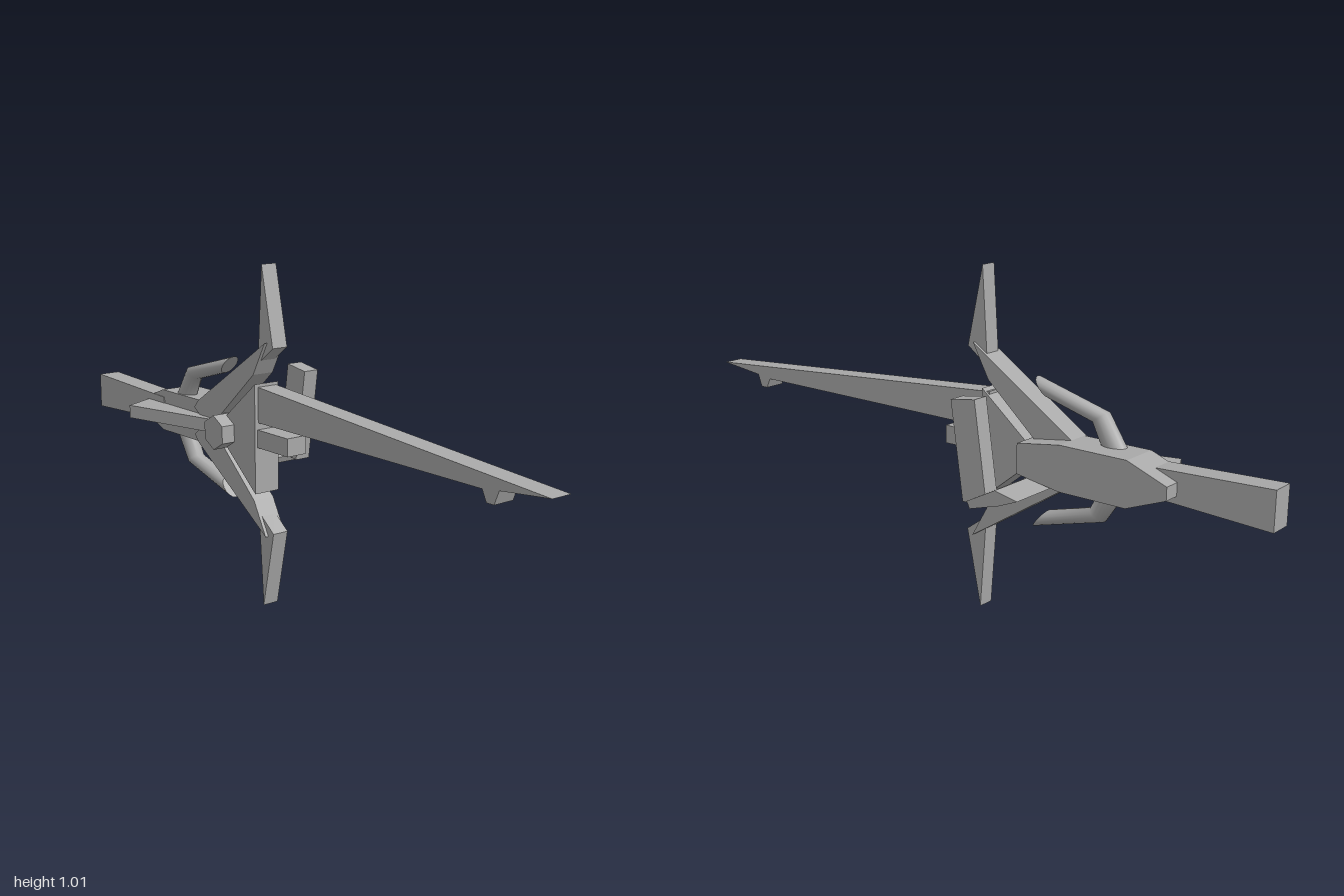
import * as THREE from 'three';

const MID = 0.508; // height of the mirror line between upper and lower parts

export function createModel() {
  const group = new THREE.Group();
  const metal = new THREE.MeshStandardMaterial({ color: 0xa8a8a8 });
  metal.name = 'grey metal';

  const add = (name, geo) => {
    const mesh = new THREE.Mesh(geo, metal);
    mesh.name = name;
    group.add(mesh);
    return mesh;
  };
  // Flat plate: outline in x/y, extruded between two depths
  const plate = (name, pts, z0, z1) => {
    const shape = new THREE.Shape(pts.map(p => new THREE.Vector2(p[0], p[1])));
    const geo = new THREE.ExtrudeGeometry(shape, { depth: z1 - z0, bevelEnabled: false });
    geo.translate(0, 0, z0);
    return add(name, geo);
  };
  const flip = pts => pts.map(([x, y]) => [x, 2 * MID - y]);

  // Blade with the small hook near its tip
  plate('blade', [[-0.12, 0.662], [1, 0.58], [0.84, 0.563], [0.825, 0.525], [0.80, 0.525],
    [0.785, 0.556], [-0.12, 0.556]], 0.015, 0.08);

  // Handle, widening toward its end
  plate('handle', [[-1, 0.455], [-0.6, 0.475], [-0.6, 0.55], [-1, 0.565]], 0.01, 0.08);

  // Central body with chamfered ends
  plate('body', [[-0.73, 0.49], [-0.61, 0.443], [-0.4, 0.443], [-0.26, 0.465],
    [-0.26, 0.552], [-0.4, 0.573], [-0.61, 0.573], [-0.73, 0.527]], -0.04, 0.078);

  // Triangular guard and the stub in front of it
  plate('guard', [[-0.1, 0.345], [-0.1, 0.67], [-0.3, MID]], 0.008, 0.092);
  plate('stub', [[-0.12, 0.483], [0.04, 0.483], [0.04, 0.536], [-0.12, 0.536]], 0.017, 0.083);

  // Raised wedge on the front of the body
  const wedge = new THREE.Shape([[-0.7, 0.05], [-0.25, 0.05], [-0.25, 0.08], [-0.64, 0.183], [-0.69, 0.08]]
    .map(([x, z]) => new THREE.Vector2(x, -z)));
  const wedgeGeo = new THREE.ExtrudeGeometry(wedge, { depth: 0.04, bevelEnabled: false });
  wedgeGeo.rotateX(-Math.PI / 2);
  wedgeGeo.translate(0, 0.491, 0);
  add('frontWedge', wedgeGeo);

  // Six-sided bolt
  const bolt = new THREE.CylinderGeometry(0.052, 0.052, 0.09, 6).toNonIndexed();
  bolt.computeVertexNormals();
  bolt.rotateX(Math.PI / 2);
  bolt.translate(-0.248, MID, 0.09);
  add('bolt', bolt);

  // Tilted bar at the back and the arm that carries it
  const bar = add('backBar', new THREE.BoxGeometry(0.082, 0.282, 0.05));
  bar.position.set(-0.195, 0.545, -0.142);
  bar.rotation.z = -0.15;
  plate('backArm', [[-0.37, 0.445], [-0.31, 0.42], [-0.21, 0.39], [-0.2, 0.41], [-0.295, 0.46]], -0.18, 0.02);

  // Swept arms and pointed tips, mirrored above and below
  const arm = [[-0.42, 0.55], [-0.4, 0.573], [-0.06, 0.793], [-0.115, 0.695], [-0.28, 0.55], [-0.36, MID]];
  const tip = [[-0.085, 1.012], [-0.035, 0.78], [-0.105, 0.728]];
  // Pipe rings given by an outer and an inner point
  const rings = [[-0.565, 0.555, -0.485, 0.555], [-0.495, 0.66, -0.45, 0.628], [-0.262, 0.724, -0.308, 0.668]];
  for (const [side, upper] of [['upper', true], ['lower', false]]) {
    plate(side + 'Arm', upper ? arm : flip(arm), 0.016, 0.086);
    plate(side + 'Tip', upper ? tip : flip(tip), 0.025, 0.076);
    add(side + 'Pipe', pipe(rings, upper));
  }
  return group;
}

// Smooth pipe with slanted ends, lofted through elliptical rings
function pipe(rings, upper) {
  const n = 16, pos = [], idx = [];
  const quad = (a, b, c, d) => upper ? idx.push(a, b, c, a, c, d) : idx.push(a, c, b, a, d, c);
  const put = (x, y, z) => pos.push(x, upper ? y : 2 * MID - y, z);
  const ring = ([ox, oy, ix, iy]) => {
    for (let j = 0; j < n; j++) {
      const a = j / n * Math.PI * 2, t = (1 + Math.cos(a)) / 2;
      put(ix + (ox - ix) * t, iy + (oy - iy) * t, 0.047 + 0.026 * Math.sin(a));
    }
  };
  rings.forEach(ring);
  for (let i = 0; i < rings.length - 1; i++) {
    for (let j = 0; j < n; j++) {
      const k = (j + 1) % n;
      quad(i * n + j, i * n + k, (i + 1) * n + k, (i + 1) * n + j);
    }
  }
  // End cap with its own corners
  const base = rings.length * n, last = rings[rings.length - 1];
  ring(last);
  for (let j = 1; j < n - 1; j++) {
    if (upper) idx.push(base, base + j, base + j + 1);
    else idx.push(base, base + j + 1, base + j);
  }
  const geo = new THREE.BufferGeometry();
  geo.setAttribute('position', new THREE.Float32BufferAttribute(pos, 3));
  geo.setIndex(idx);
  geo.computeVertexNormals();
  return geo;
}
